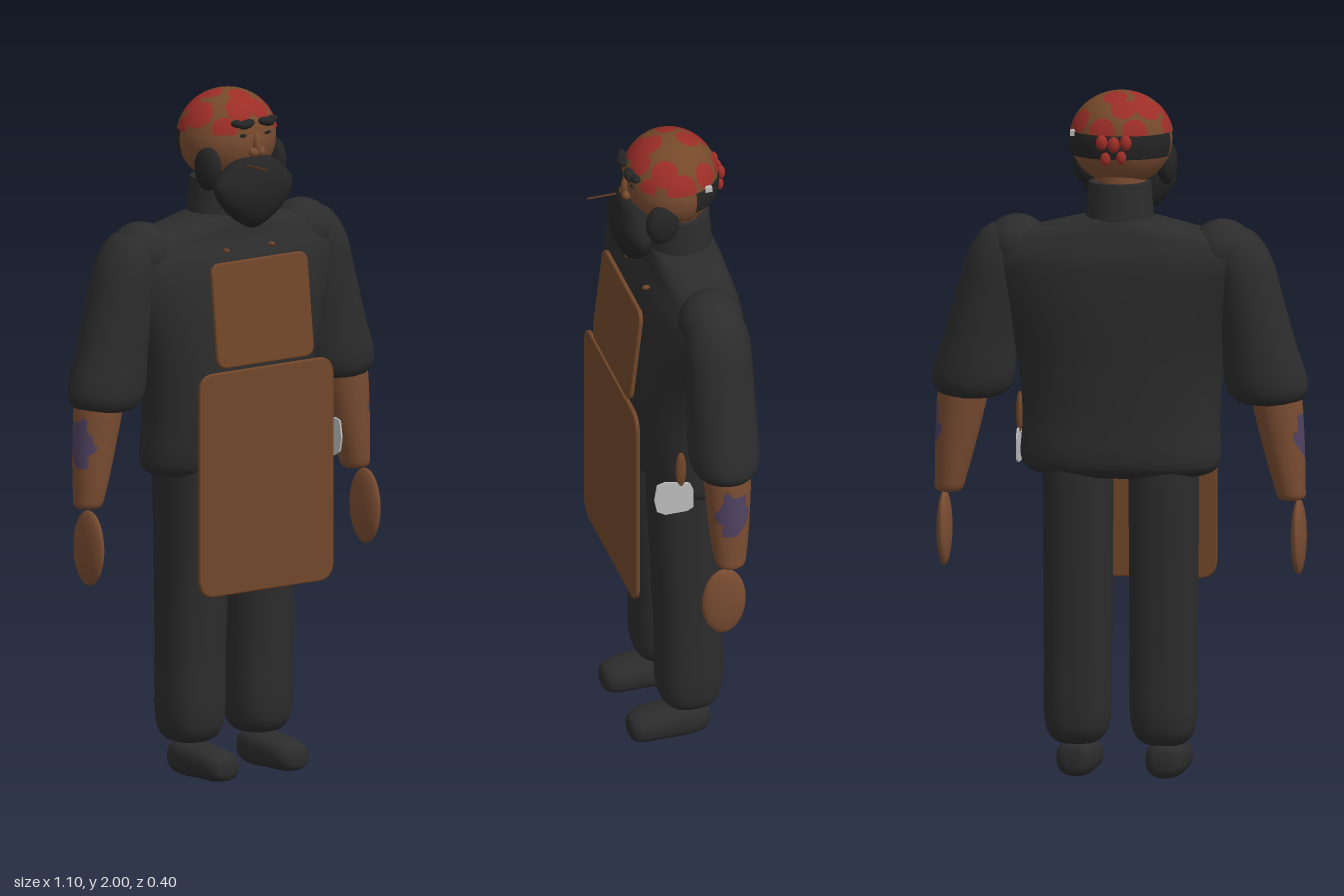
import * as THREE from 'three';

const mat = (name, color) => Object.assign(new THREE.MeshStandardMaterial({ color }), { name });

// Smooth closed body through elliptical rings [y, rx, rz, cx, cz], listed upwards
function loft(rings, n = 40, steps = 5, power = 2) {
  const size = new THREE.CatmullRomCurve3(rings.map(r => new THREE.Vector3(r[1], r[0], r[2])));
  const mid = new THREE.CatmullRomCurve3(rings.map(r => new THREE.Vector3(r[3], r[0], r[4])));
  const rows = (rings.length - 1) * steps, pos = [], idx = [];
  const bend = v => Math.sign(v) * Math.abs(v) ** (2 / power);
  for (let i = 0; i <= rows; i++) {
    const s = size.getPoint(i / rows), c = mid.getPoint(i / rows);
    for (let j = 0; j < n; j++) {
      const a = j / n * Math.PI * 2;
      pos.push(c.x + bend(Math.cos(a)) * Math.max(s.x, 0.0005), s.y, c.z + bend(Math.sin(a)) * Math.max(s.z, 0.0005));
      if (i < rows) {
        const p = i * n + j, q = i * n + (j + 1) % n;
        idx.push(p, p + n, q, q, p + n, q + n);
      }
    }
  }
  const g = new THREE.BufferGeometry();
  g.setAttribute('position', new THREE.Float32BufferAttribute(pos, 3));
  g.setIndex(idx);
  g.computeVertexNormals();
  return g;
}

// Sort faces into two material groups by a test on their centres
function paint(g, test) {
  const p = g.attributes.position, sets = [[], []], v = new THREE.Vector3(), c = new THREE.Vector3();
  for (let i = 0; i < g.index.count; i += 3) {
    const t = [0, 1, 2].map(k => g.index.getX(i + k));
    c.set(0, 0, 0);
    t.forEach(k => c.add(v.fromBufferAttribute(p, k)));
    sets[test(c.divideScalar(3)) ? 1 : 0].push(...t);
  }
  g.setIndex([...sets[0], ...sets[1]]);
  g.addGroup(0, sets[0].length, 0);
  g.addGroup(sets[0].length, sets[1].length, 1);
  return g;
}

// Rounded, bevelled panel
function panel(w, h, r) {
  const x = w / 2 - 0.005, y = h / 2 - 0.005, s = new THREE.Shape();
  s.moveTo(-x + r, -y).lineTo(x - r, -y).quadraticCurveTo(x, -y, x, -y + r)
    .lineTo(x, y - r).quadraticCurveTo(x, y, x - r, y)
    .lineTo(-x + r, y).quadraticCurveTo(-x, y, -x, y - r)
    .lineTo(-x, -y + r).quadraticCurveTo(-x, -y, -x + r, -y);
  return new THREE.ExtrudeGeometry(s, { depth: 0.004, bevelSize: 0.005, bevelThickness: 0.005, bevelSegments: 3 }).translate(0, 0, -0.002);
}

export function createModel() {
  const root = new THREE.Group();
  const cloth = mat('charcoalCloth', 0x2c2c2c), hair = mat('blackHair', 0x242424), skin = mat('skin', 0x794c31);
  const leather = mat('apronLeather', 0x704629), red = mat('bandanaRed', 0x9c2d27), tan = mat('bandanaBrown', 0x75492a);
  const ink = mat('tattooInk', 0x4f4160), steel = mat('steel', 0xbdbdbd), wood = mat('wood', 0x5c3822);
  const add = (name, geo, m, x = 0, y = 0, z = 0) => {
    const o = new THREE.Mesh(geo, m);
    o.name = name;
    o.position.set(x, y, z);
    root.add(o);
    return o;
  };
  const ball = (name, m, x, y, z, rx, ry, rz, tilt = 0) => {
    const o = add(name, new THREE.SphereGeometry(1, 24, 16), m, x, y, z);
    o.scale.set(rx, ry, rz);
    o.rotation.z = tilt;
    return o;
  };

  // Shirt body and collar
  add('torso', loft([
    [0.885, 0.001, 0.001, 0, -0.05], [0.89, 0.25, 0.11, 0, -0.05], [0.92, 0.287, 0.138, 0, -0.05],
    [1.05, 0.287, 0.15, 0, -0.037], [1.2, 0.3, 0.152, 0, -0.037], [1.32, 0.335, 0.15, 0, -0.045],
    [1.43, 0.39, 0.143, 0, -0.055], [1.52, 0.43, 0.13, 0, -0.066], [1.57, 0.39, 0.112, 0, -0.07],
    [1.615, 0.22, 0.1, 0, -0.068], [1.64, 0.1, 0.08, 0, -0.065], [1.645, 0.001, 0.001, 0, -0.065],
  ], 56, 5, 2.2), cloth);
  add('collar', new THREE.CylinderGeometry(0.9, 1, 0.12, 40), cloth, 0, 1.68, -0.066).scale.set(0.1, 1, 0.094);
  add('neck', new THREE.CylinderGeometry(0.07, 0.075, 0.16, 32), skin, 0, 1.76, -0.055);

  for (const s of [1, -1]) {
    // Arms
    ball('shoulder', cloth, s * 0.3, 1.545, -0.066, 0.095, 0.092, 0.095);
    add('sleeve', loft([
      [1.105, 0.001, 0.001, s * 0.435, -0.065], [1.11, 0.09, 0.08, s * 0.433, -0.065], [1.15, 0.118, 0.1, s * 0.43, -0.065],
      [1.28, 0.107, 0.1, s * 0.405, -0.066], [1.42, 0.098, 0.098, s * 0.375, -0.067], [1.53, 0.09, 0.093, s * 0.35, -0.067],
      [1.6, 0.055, 0.06, s * 0.335, -0.067], [1.615, 0.001, 0.001, s * 0.33, -0.067],
    ]), cloth);
    const forearm = loft([
      [0.82, 0.001, 0.001, s * 0.5, -0.062], [0.83, 0.038, 0.04, s * 0.5, -0.062], [0.87, 0.046, 0.05, s * 0.494, -0.062],
      [1, 0.063, 0.062, s * 0.475, -0.064], [1.12, 0.073, 0.069, s * 0.457, -0.065], [1.16, 0.07, 0.068, s * 0.45, -0.065],
    ], 64, 10);
    const patch = c => Math.hypot((c.y - 1.015) / 0.075, (c.z + 0.062) / 0.046) < 1 + 0.13 * Math.sin(c.y * 90 + c.z * 70);
    add('forearm', paint(forearm, c => (c.x * s > 0.48) && patch(c)), [skin, ink]);
    ball('hand', skin, s * 0.517, 0.712, -0.037, 0.021, 0.11, 0.066);

    // Trousers and shoes
    add('leg', loft([
      [0.1, 0.001, 0.001, s * 0.127, -0.053], [0.105, 0.06, 0.062, s * 0.127, -0.053], [0.145, 0.09, 0.09, s * 0.126, -0.053],
      [0.35, 0.097, 0.097, s * 0.125, -0.052], [0.65, 0.099, 0.107, s * 0.125, -0.048], [0.85, 0.1, 0.116, s * 0.125, -0.047],
      [0.95, 0.1, 0.116, s * 0.125, -0.047],
    ], 40, 5, 2.4), cloth);
    const shoe = loft([
      [-0.11, 0.001, 0.001, 0, -0.055], [-0.1, 0.042, 0.042, 0, -0.054], [-0.06, 0.057, 0.053, 0, -0.053],
      [0.03, 0.06, 0.049, 0, -0.049], [0.1, 0.056, 0.042, 0, -0.043], [0.125, 0.038, 0.03, 0, -0.04], [0.132, 0.001, 0.001, 0, -0.04],
    ], 32, 5, 2.4).rotateX(Math.PI / 2);
    add('shoe', shoe, cloth, s * 0.13, 0, 0);

    // Apron studs, brows, sideburns, nostrils and eyes
    ball('apronStud', leather, s * 0.085, 1.545, 0.062, 0.007, 0.007, 0.012);
    ball('brow', hair, s * 0.037, 1.915, 0.096, 0.028, 0.013, 0.017, s * -0.2);
    ball('browTip', hair, s * 0.065, 1.918, 0.087, 0.02, 0.011, 0.014, s * 0.15);
    ball('sideburn', hair, s * 0.122, 1.785, 0.024, 0.03, 0.065, 0.05);
    ball('nostril', skin, s * 0.013, 1.83, 0.098, 0.014, 0.014, 0.014);
    ball('eye', hair, s * 0.045, 1.882, 0.091, 0.012, 0.006, 0.006);
  }

  // Head with a patterned bandana
  ball('head', skin, 0, 1.86, -0.037, 0.148, 0.136, 0.135);
  ball('nose', skin, 0, 1.85, 0.097, 0.013, 0.035, 0.014);
  const blots = [
    [-0.11, 1.93, -0.02, 0.045], [-0.08, 1.96, -0.09, 0.045], [-0.02, 1.96, -0.13, 0.035], [0.01, 1.985, -0.085, 0.035],
    [0, 1.98, 0.02, 0.036], [-0.035, 1.955, 0.06, 0.04], [0.035, 1.95, 0.065, 0.036], [0.1, 1.94, 0.01, 0.04],
    [0.13, 1.9, -0.03, 0.045], [0.11, 1.92, -0.11, 0.037], [0.04, 1.9, -0.17, 0.04], [-0.06, 1.9, -0.16, 0.037],
    [-0.09, 1.9, 0.06, 0.036], [0.1, 1.9, 0.06, 0.028], [-0.05, 1.985, -0.04, 0.03], [-0.14, 1.9, -0.07, 0.03],
  ].map(b => ({ at: new THREE.Vector3(b[0], b[1], b[2]), r: b[3] }));
  const cap = new THREE.SphereGeometry(1, 110, 50, 0, Math.PI * 2, 0, 1.39).scale(0.151, 0.14, 0.139).translate(0, 1.86, -0.037);
  add('bandana', paint(cap, c => blots.some(b => b.at.distanceTo(c) < b.r)), [tan, red]);
  for (const [x, y, r] of [[-0.035, 1.868, 0.017], [0, 1.862, 0.018], [0.035, 1.868, 0.017], [-0.022, 1.825, 0.015], [0.024, 1.82, 0.015]])
    ball('bandanaKnot', red, x, y, -0.178, r, r * 1.3, r * 0.8);

  // Hair around the back of the head
  const band = new THREE.SphereGeometry(1, 40, 8, Math.PI + 0.25, Math.PI - 0.5, 1.38, 0.5);
  const back = add('backHair', band, hair, 0, 1.86, -0.037);
  back.scale.set(0.153, 0.141, 0.141);
  back.material.side = THREE.DoubleSide;
  add('hairClip', new THREE.BoxGeometry(0.012, 0.016, 0.02), steel, 0.13, 1.885, -0.112);

  // Beard with a toothpick
  add('beard', loft([
    [1.605, 0.001, 0.001, 0, 0.08], [1.615, 0.03, 0.018, 0, 0.08], [1.65, 0.085, 0.04, 0, 0.082], [1.7, 0.13, 0.052, 0, 0.083],
    [1.74, 0.14, 0.054, 0, 0.08], [1.78, 0.105, 0.046, 0, 0.078], [1.81, 0.06, 0.03, 0, 0.08], [1.818, 0.001, 0.001, 0, 0.08],
  ]), hair);
  add('toothpick', new THREE.CylinderGeometry(0.003, 0.003, 0.12, 8).rotateX(Math.PI / 2), wood, -0.047, 1.797, 0.138);

  // Apron
  add('apronSkirt', panel(0.5, 0.655, 0.05), leather, 0, 0.882, 0.138);
  add('apronBib', panel(0.36, 0.305, 0.03), leather, 0, 1.37, 0.12).rotation.x = -0.11;

  // Cleaver hanging on the left hip
  const blade = new THREE.Shape([[-0.01, 0.91], [0.01, 0.9], [0.075, 0.9], [0.1, 0.915], [0.108, 0.955], [0.1, 1.005], [0.075, 1.012], [0.0, 0.995], [-0.01, 0.97]]
    .map(p => new THREE.Vector2(-p[0], p[1])));
  const bladeGeo = new THREE.ExtrudeGeometry(blade, { depth: 0.006, bevelEnabled: false }).translate(0, 0, -0.003).rotateY(Math.PI / 2);
  add('cleaverBlade', bladeGeo, steel, 0.31, 0, 0);
  ball('cleaverHandle', leather, 0.308, 1.045, 0.027, 0.011, 0.06, 0.016);
  return root;
}
